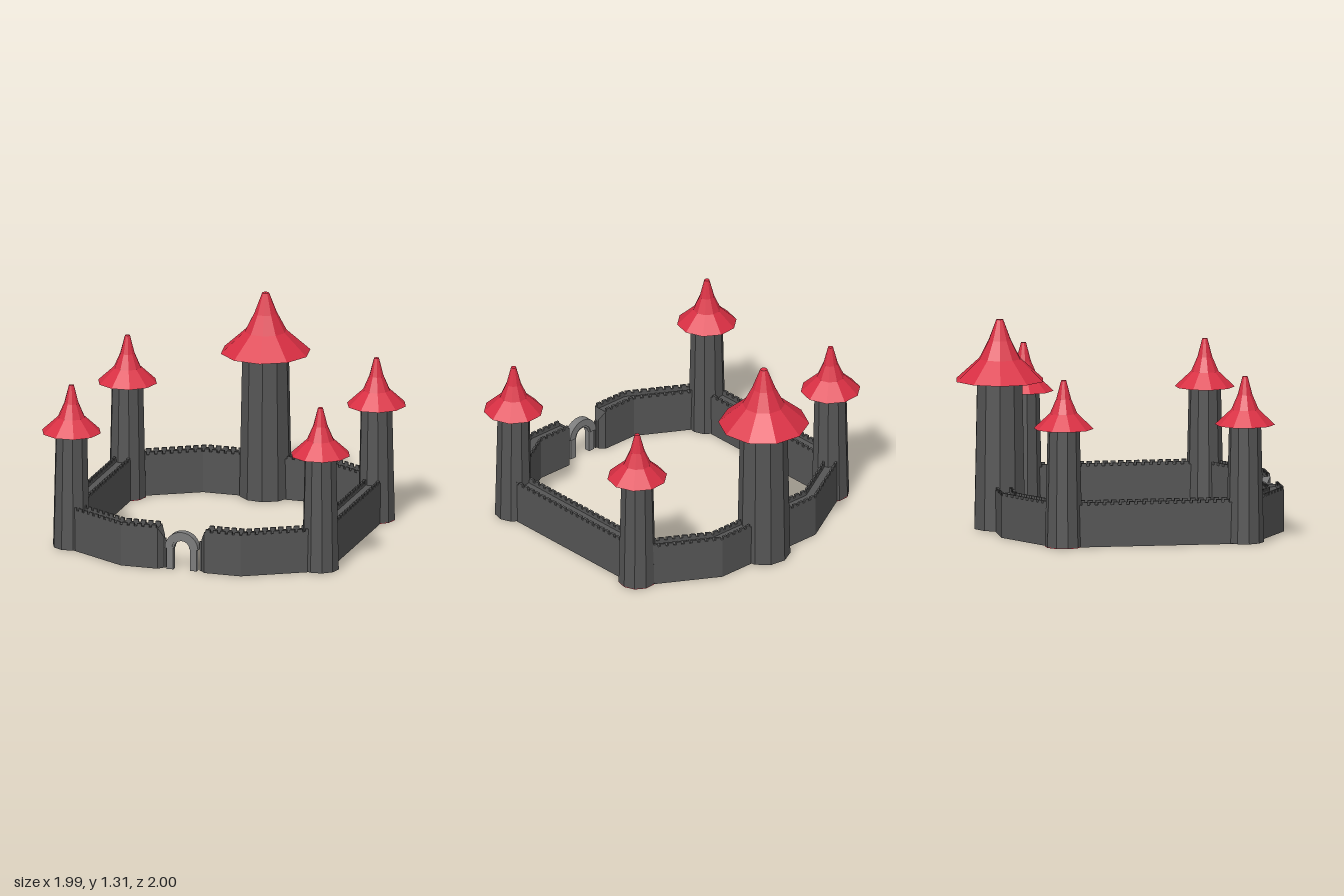
import * as THREE from 'three';
import { mergeGeometries } from 'three/addons/utils/BufferGeometryUtils.js';

const mat = (color) => new THREE.MeshStandardMaterial({ color, flatShading: true });
const V = (x, z) => new THREE.Vector2(x, z);

// Upright prism over a floor plan of (x, z) points
function prism(plan, y0, y1) {
  const shape = new THREE.Shape(plan.map((p) => V(p.x, -p.y)));
  const g = new THREE.ExtrudeGeometry(shape, { depth: y1 - y0, bevelEnabled: false });
  return g.rotateX(-Math.PI / 2).translate(0, y0, 0);
}

// Battlemented wall from a to b; off is the half-thickness vector
function wallGeometry(a, b, off) {
  const at = (t, s) => a.clone().lerp(b, t).addScaledVector(off, s);
  const strip = (t0, t1, s0, s1, y0, y1) =>
    prism([at(t0, s0), at(t1, s0), at(t1, s1), at(t0, s1)], y0, y1);
  const parts = [strip(0, 1, -1, 1, 0, 0.245)];
  const n = Math.max(2, Math.round(a.distanceTo(b) / 0.05));
  for (const [s0, s1] of [[-1, -0.7], [0.7, 1]]) {
    parts.push(strip(0, 1, s0, s1, 0.245, 0.263));
    for (let i = 0; i < n; i++) {
      parts.push(strip((i + 0.18) / n, (i + 0.82) / n, s0, s1, 0.263, 0.28));
    }
  }
  return mergeGeometries(parts);
}

export function createModel() {
  const model = new THREE.Group();
  const stone = mat(0x555555);
  const paleStone = mat(0x7c7c7c);
  const red = mat(0xd92f43);

  const add = (name, geometry, material, parent = model) => {
    const mesh = new THREE.Mesh(geometry, material);
    mesh.name = name;
    parent.add(mesh);
    return mesh;
  };

  // Ten-sided tower with a flared spire roof
  function tower(name, x, z, rBase, rTop, height, roof, turn, redFloor) {
    const g = new THREE.Group();
    g.name = name;
    g.position.set(x, 0, z);
    const phase = THREE.MathUtils.degToRad(turn);
    const lathe = (pts) =>
      new THREE.LatheGeometry(pts.map(([r, y]) => V(r, y)), 10, phase);
    add('towerShaft', lathe([[0, 0.004], [rBase, 0.004], [rTop, height], [0, height]]), stone, g);
    add('spireRoof', lathe([[0, height], ...roof.map(([r, y]) => [r, height + y])]), red, g);
    if (redFloor) add('towerFloor', lathe([[0, 0], [rBase, 0], [rBase, 0.004]]), red, g);
    model.add(g);
  }

  const smallRoof = [[0.187, 0], [0.085, 0.095], [0.046, 0.185], [0.016, 0.3], [0, 0.302]];
  const bigRoof = [[0.282, 0], [0.132, 0.135], [0.072, 0.25], [0.022, 0.38], [0, 0.383]];
  tower('keep', 0, -0.735, 0.165, 0.147, 0.93, bigRoof, 10, false);

  const up = V(0, 0.05), side = V(0.053, 0);
  for (const [label, s] of [['left', 1], ['right', -1]]) {
    tower(label + 'FrontTower', s * 0.81, 0.677, 0.117, 0.1, 0.74, smallRoof, 22, false);
    tower(label + 'BackTower', s * 0.81, -0.46, 0.117, 0.1, 0.74, smallRoof, 22, true);

    // Curtain walls
    add(label + 'SideWall',
      wallGeometry(V(s * 0.812, -0.46), V(s * 0.812, 0.677), side), stone);
    add(label + 'FrontDiagonalWall',
      wallGeometry(V(s * 0.39, 0.935), V(s * 0.78, 0.71), up), stone);
    add(label + 'BackDiagonalWall',
      wallGeometry(V(s * 0.39, -0.733), V(s * 0.78, -0.508), up), stone);
    add(label + 'FrontWall', wallGeometry(V(s * 0.152, 0.935), V(s * 0.39, 0.935), up), stone);
    add(label + 'BackWall', wallGeometry(V(s * 0.1, -0.733), V(s * 0.39, -0.733), up), stone);

    // Tapered wall end beside the gate, sloping down towards the arch
    const end = prism([V(s * 0.152, 0.885), V(s * 0.122, 0.92),
      V(s * 0.122, 0.95), V(s * 0.152, 0.985)], 0, 0.263);
    const p = end.attributes.position;
    for (let i = 0; i < p.count; i++) {
      if (Math.abs(p.getX(i)) < 0.13 && p.getY(i) > 0.2) p.setY(i, 0.2);
    }
    end.computeVertexNormals();
    add(label + 'WallEnd', end, stone);
    add(label + 'GateJamb',
      new THREE.BoxGeometry(0.014, 0.19, 0.012).translate(s * 0.117, 0.095, 0.94), stone);

    // Gate pillars
    add(label + 'GatePillar',
      new THREE.BoxGeometry(0.042, 0.15, 0.036).translate(s * 0.076, 0.075, 0.95), paleStone);
  }

  // Gate arch: a raised half ring over a thinner inner ring
  const ring = (r0, r1, depth) => {
    const shape = new THREE.Shape();
    shape.absarc(0, 0, r1, 0, Math.PI, false);
    shape.absarc(0, 0, r0, Math.PI, 0, true);
    return new THREE.ExtrudeGeometry(shape, { depth, bevelEnabled: false, curveSegments: 10 })
      .translate(0, 0.137, 0.95 - depth / 2);
  };
  add('gateArch', ring(0.062, 0.108, 0.05), paleStone);
  add('gateInnerArch', ring(0.05, 0.064, 0.036), paleStone);
  return model;
}
